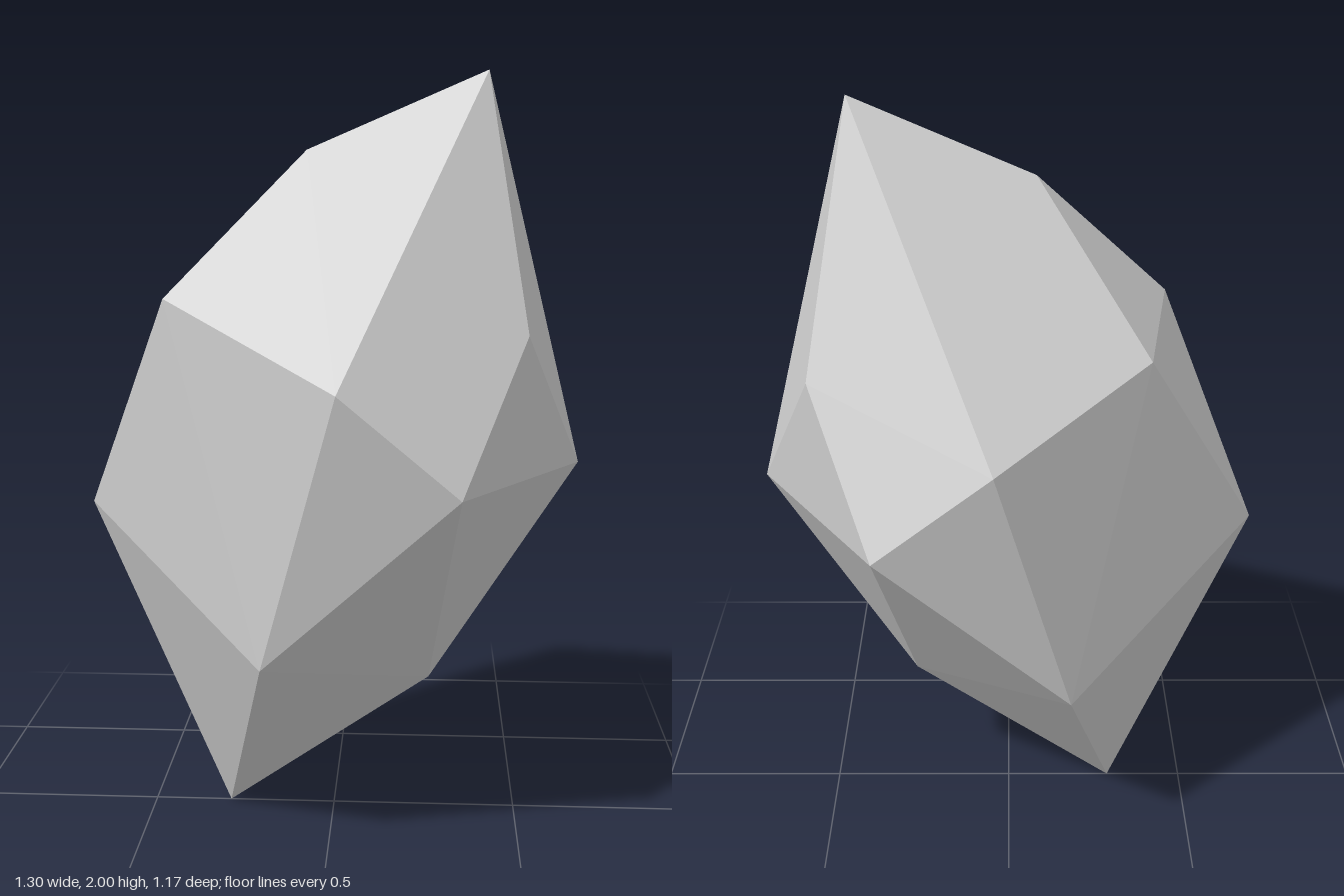
import * as THREE from 'three';
import { ConvexGeometry } from 'three/addons/geometries/ConvexGeometry.js';

export function createModel() {
  const group = new THREE.Group();
  group.name = 'crystal';

  // Corners on the middle plane: tip, shoulder, side points, lower ridge, base
  const corners = [
    [0.395, 2.0, 0], [-0.07, 1.8, 0.01], [0.65, 0.985, 0],
    [-0.655, 0.86, 0], [0.26, 0.375, 0], [-0.29, 0, 0],
    // Upper left bevel, slightly uneven front to back
    [-0.42, 1.435, 0.21], [-0.35, 1.41, -0.26],
  ];
  // Paired corners: x, y, front z, back z
  const pairs = [
    [0.035, 1.255, 0.585, -0.59],
    [0.33, 1.0, 0.54, -0.535],
    [0.495, 1.355, 0.265, -0.26],
    [-0.16, 0.54, 0.445, -0.44],
  ];
  for (const [x, y, front, back] of pairs) corners.push([x, y, front], [x, y, back]);

  // Faceted stone spanning all the corners
  const stone = new THREE.Mesh(
    new ConvexGeometry(corners.map((c) => new THREE.Vector3(...c))),
    new THREE.MeshStandardMaterial({ color: 0xcccccc, flatShading: true })
  );
  stone.name = 'facetedStone';
  group.add(stone);
  return group;
}
